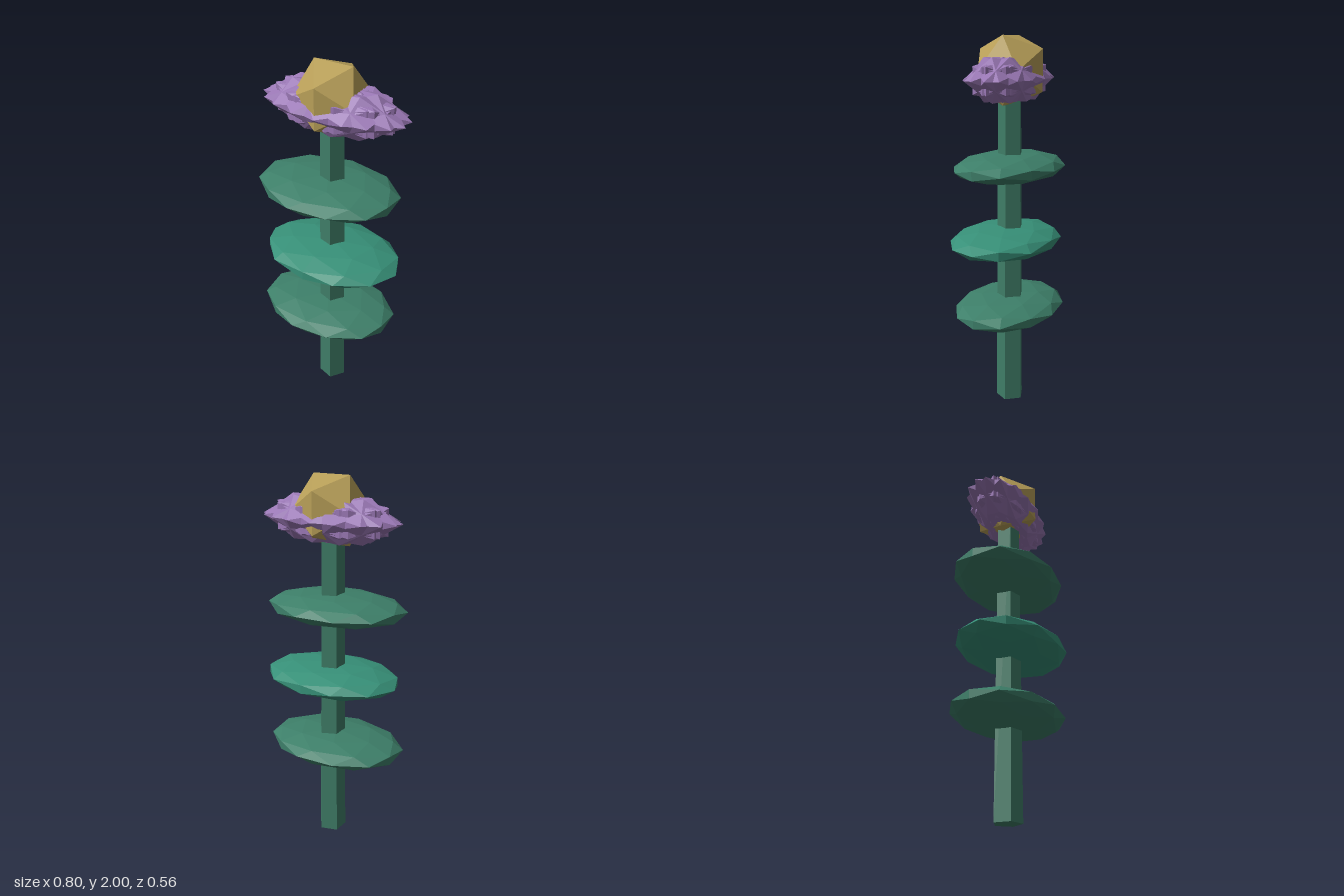
import * as THREE from 'three';

const CX = -0.015, CZ = -0.015;

const paint = (color) => new THREE.MeshStandardMaterial({ color, flatShading: true });

// Faceted ball turned about y first, then squashed along the fixed axes
function facetedBall(detail, turn, rx, ry, rz) {
  return new THREE.IcosahedronGeometry(1, detail).rotateY(turn).scale(rx, ry, rz);
}

export function createModel() {
  const model = new THREE.Group();
  model.name = 'flower';

  const add = (parent, name, geometry, material, x, y, z) => {
    const mesh = new THREE.Mesh(geometry, material);
    mesh.name = name;
    mesh.position.set(x, y, z);
    parent.add(mesh);
    return mesh;
  };

  // Five-sided tapering stem with one edge facing +x
  const stemHeight = 1.7;
  const stem = new THREE.CylinderGeometry(0.065, 0.078, stemHeight, 5).rotateY(Math.PI / 2);
  add(model, 'stem', stem, paint(0x3f7d67), CX, stemHeight / 2, CZ + 0.003);

  // Three flat leaf discs, the middle one turned differently
  const darkLeaf = paint(0x3d7f69), lightLeaf = paint(0x379078);
  const leaves = [
    ['lowerLeaf', 0.54, -1.2, -0.036, 0, darkLeaf],
    ['middleLeaf', 0.927, -0.61, -0.005, 0.008, lightLeaf],
    ['upperLeaf', 1.322, -1.2, -0.036, 0, darkLeaf],
  ];
  for (const [name, y, turn, x, z, material] of leaves) {
    add(model, name, facetedBall(1, turn, 0.396, 0.077, 0.283), material, x, y, z);
  }

  // Ring of overlapping faceted petals forming a spiky oval bloom
  const bloom = new THREE.Group();
  bloom.name = 'bloom';
  bloom.position.set(CX + 0.008, 1.782, CZ);
  model.add(bloom);
  const petalMaterial = paint(0x9a78b5);
  const petalCount = 9;
  for (let i = 0; i < petalCount; i++) {
    const a = (i / petalCount) * Math.PI * 2;
    add(bloom, 'petal', facetedBall(0, -a, 0.38, 0.131, 0.176), petalMaterial,
      Math.cos(a) * 0.03, 0, Math.sin(a) * 0.016);
  }

  // Golden flower centre
  add(model, 'flowerCentre', facetedBall(0, 0, 0.205, 0.205, 0.205), paint(0xb89f58), CX, 1.8256, CZ);

  return model;
}
